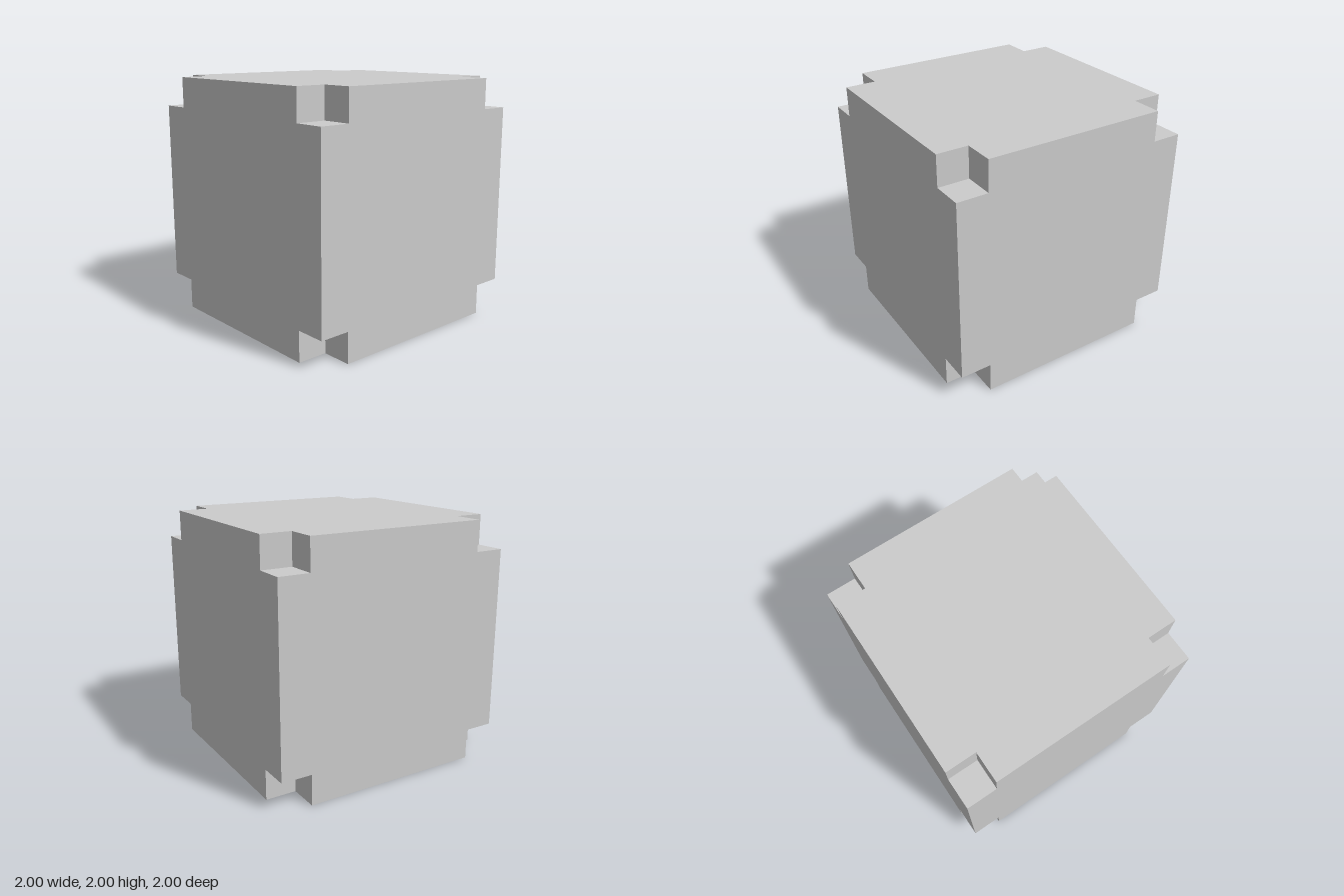
import * as THREE from 'three';
import { mergeGeometries } from 'three/addons/utils/BufferGeometryUtils.js';

const HALF = 1;       // half the cube's edge
const NOTCH = 0.25;   // edge of the cube cut from each corner
const INNER = HALF - NOTCH;

// One side facing +z: a cross-shaped face and the floors of its four corner notches
function sideGeometry() {
  const outline = [];
  for (let i = 0; i < 4; i++) {
    const turn = i * Math.PI / 2;
    for (const [x, y] of [[HALF, -INNER], [HALF, INNER], [INNER, INNER]]) {
      outline.push(new THREE.Vector2(x, y).rotateAround(new THREE.Vector2(), turn));
    }
  }
  const parts = [new THREE.ShapeGeometry(new THREE.Shape(outline)).translate(0, 0, HALF)];
  const mid = HALF - NOTCH / 2;
  for (const sx of [-1, 1]) {
    for (const sy of [-1, 1]) {
      parts.push(new THREE.PlaneGeometry(NOTCH, NOTCH).translate(sx * mid, sy * mid, INNER));
    }
  }
  return mergeGeometries(parts);
}

export function createModel() {
  const group = new THREE.Group();
  group.name = 'notchedCube';

  // Turn the same side to all six directions and join them into one closed skin
  const q = Math.PI / 2;
  const sides = [0, 1, 2, 3].map((i) => sideGeometry().rotateY(i * q));
  sides.push(sideGeometry().rotateX(-q), sideGeometry().rotateX(q));

  const material = new THREE.MeshStandardMaterial({ color: 0xcccccc, flatShading: true });
  const body = new THREE.Mesh(mergeGeometries(sides), material);
  body.name = 'body';
  body.position.y = HALF;
  group.add(body);
  return group;
}
